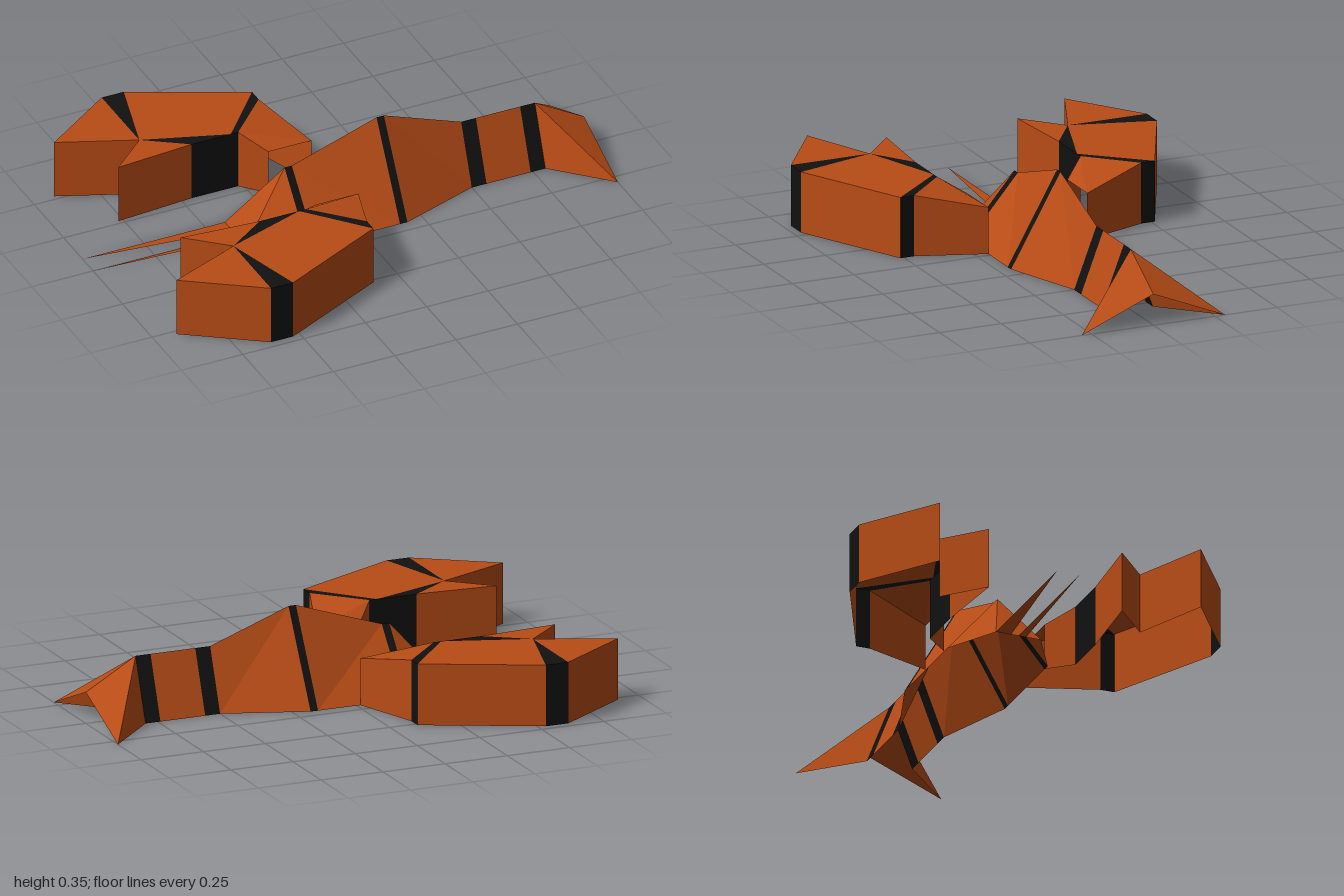
import * as THREE from 'three';

const shellMat = new THREE.MeshStandardMaterial({ color: 0xb84c16, flatShading: true, side: THREE.DoubleSide });
const bandMat = new THREE.MeshStandardMaterial({ color: 0x111111, flatShading: true, side: THREE.DoubleSide });

// One mesh from convex panels; each panel is a list of corners, fanned from its first
function panels(name, mat, faces) {
  const pos = [];
  for (const f of faces)
    for (let i = 1; i < f.length - 1; i++) pos.push(...f[0], ...f[i], ...f[i + 1]);
  const g = new THREE.BufferGeometry();
  g.setAttribute('position', new THREE.Float32BufferAttribute(pos, 3));
  g.computeVertexNormals();
  const mesh = new THREE.Mesh(g, mat);
  mesh.name = name;
  return mesh;
}

// Mirror a panel across z = 0, keeping it facing outward
const mirrorZ = (f) => f.map(([x, y, z]) => [x, y, -z]).reverse();
// Same, but keeps the fan's first corner so the diagonal stays the same
const mirrorFan = (f) => { const r = mirrorZ(f); return [r[r.length - 1], ...r.slice(0, -1)]; };

// Roof-shaped body: [x, half width, ridge height, name and colour of the span that follows]
const sections = [
  [-0.42, 0.09, 0, 'head', shellMat],
  [-0.22, 0.2, 0.235, 'headBand', bandMat],
  [-0.19, 0.2, 0.235, 'frontBody', shellMat],
  [0.155, 0.2, 0.35, 'middleBand', bandMat],
  [0.185, 0.2, 0.35, 'rearBody', shellMat],
  [0.5, 0.09, 0.235, 'tailFrontBand', bandMat],
  [0.56, 0.09, 0.235, 'tail', shellMat],
  [0.74, 0.09, 0.235, 'tailRearBand', bandMat],
  [0.8, 0.09, 0.235, 'tailFan', shellMat],
  [1, 0.29, 0.12],
];

function buildBody() {
  const body = new THREE.Group();
  body.name = 'body';
  for (let i = 0; i < sections.length - 1; i++) {
    const [x0, w0, h0, name, mat] = sections[i];
    const [x1, w1, h1] = sections[i + 1];
    const ridge0 = [x0, h0, 0], base0 = [x0, 0, w0], base1 = [x1, 0, w1], ridge1 = [x1, h1, 0];
    // the head folds from its rear ridge point, the rest from the front one
    const f = i === 0 ? [ridge1, ridge0, base0, base1] : [ridge0, base0, base1, ridge1];
    body.add(panels(name, mat, [f, mirrorFan(f)]));
  }
  return body;
}

// Claw outline on the ground, with the height of the open-bottomed shell
const H = 0.235, ARM_H = 0.18;
const P = {
  tip: [-0.91, 0.52], outerA: [-0.62, 0.72], outerB: [-0.53, 0.72],
  wristA: [-0.105, 0.515], wristB: [-0.105, 0.46],
  rearArm: [-0.015, 0.2, ARM_H], frontArm: [-0.19, 0.2, ARM_H],
  innerC: [-0.27, 0.29], innerB: [-0.3, 0.29], innerA: [-0.46, 0.29],
  fingerTip: [-0.77, 0.265], notch: [-0.62, 0.4],
};
const top = (...keys) => keys.map((k) => [P[k][0], P[k][2] ?? H, P[k][1]]);
const wall = (a, b) => {
  const [ta, tb] = top(a, b);
  return [ta, [ta[0], 0, ta[2]], [tb[0], 0, tb[2]], tb];
};

function buildClaw(name, mirrored) {
  const parts = [
    ['largeFinger', shellMat, [top('notch', 'tip', 'outerA'), wall('tip', 'outerA'), wall('notch', 'tip')]],
    ['largeFingerBand', bandMat, [top('notch', 'outerA', 'outerB'), wall('outerA', 'outerB')]],
    ['palm', shellMat, [top('notch', 'outerB', 'wristA', 'innerB'), wall('outerB', 'wristA')]],
    ['smallFinger', shellMat, [top('notch', 'innerA', 'fingerTip'), wall('innerA', 'fingerTip'), wall('fingerTip', 'notch')]],
    ['smallFingerBand', bandMat, [top('notch', 'innerB', 'innerA'), wall('innerB', 'innerA')]],
    ['wristBand', bandMat, [top('innerB', 'wristA', 'wristB', 'innerC'), wall('wristA', 'wristB'), wall('innerC', 'innerB')]],
    ['arm', shellMat, [top('innerC', 'wristB', 'rearArm', 'frontArm'), wall('wristB', 'rearArm'), wall('frontArm', 'innerC')]],
  ];
  const claw = new THREE.Group();
  claw.name = name;
  for (const [part, mat, faces] of parts)
    claw.add(panels(part, mat, mirrored ? faces.map(mirrorFan) : faces));
  return claw;
}

export function createModel() {
  const model = new THREE.Group();
  model.name = 'lobster';
  model.add(buildBody(), buildClaw('frontClaw', false), buildClaw('backClaw', true));

  // Flat feelers lying on the ground: start z and base width
  for (const [name, z, w] of [['backAntenna', -0.09, 0.06], ['frontAntenna', 0, 0.03]])
    model.add(panels(name, shellMat, [[[-1, 0, z], [-0.42, 0, z + w], [-0.42, 0, z]]]));
  return model;
}
